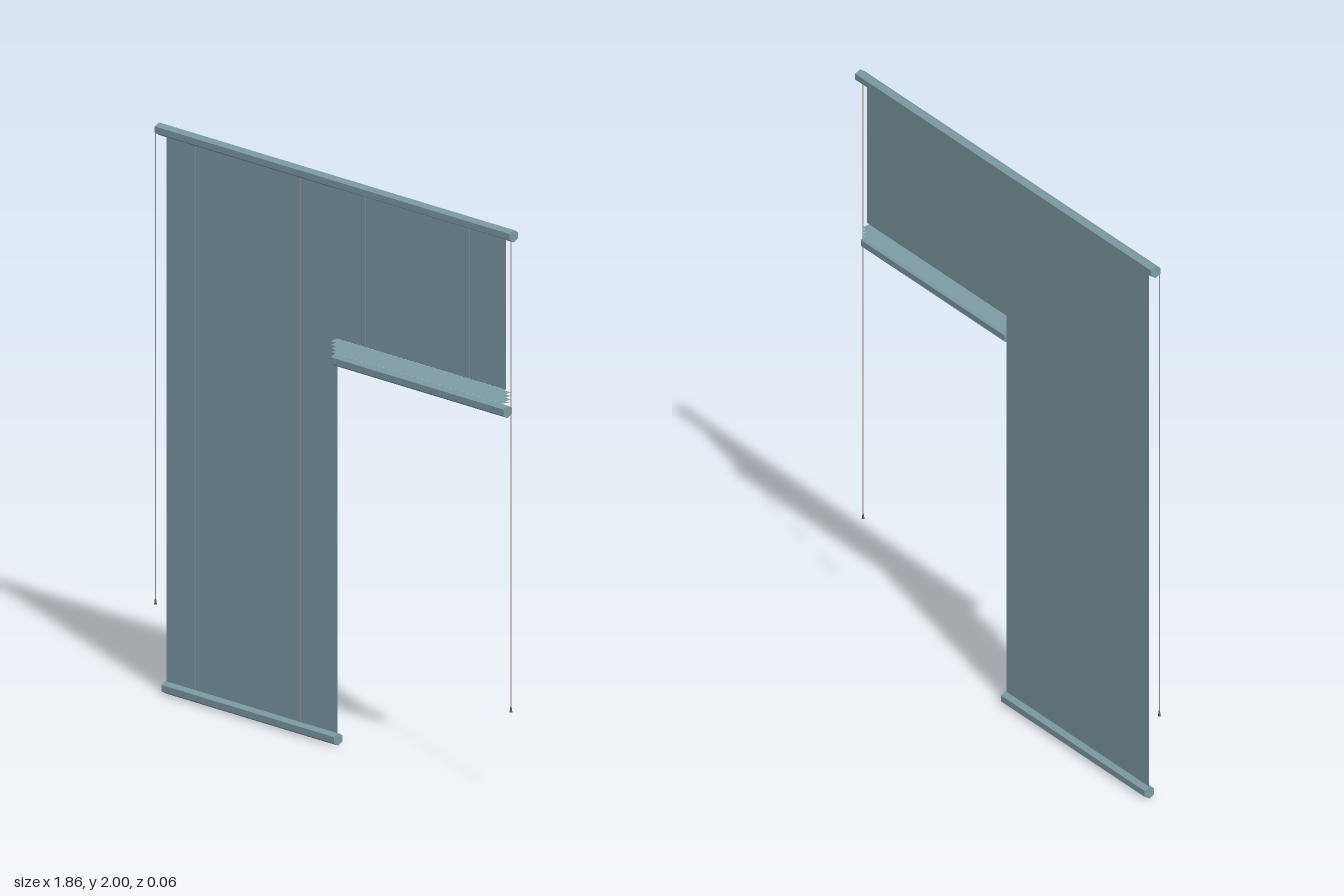
import * as THREE from 'three';

const cloth = new THREE.MeshStandardMaterial({ color: 0x7d9ca5, flatShading: true, side: THREE.DoubleSide });
const cordMat = new THREE.MeshStandardMaterial({ color: 0xa89474 });
const tasselMat = new THREE.MeshStandardMaterial({ color: 0x6b5a44, flatShading: true });

function add(parent, name, geometry, material, x, y, z) {
  const mesh = new THREE.Mesh(geometry, material);
  mesh.name = name;
  mesh.position.set(x, y, z);
  parent.add(mesh);
  return mesh;
}

// Hexagonal bar lying along x, with an edge on top
function rail(parent, name, x0, x1, y, z) {
  const g = new THREE.CylinderGeometry(0.022, 0.022, x1 - x0, 6, 1, false, Math.PI / 2);
  g.rotateZ(Math.PI / 2);
  add(parent, name, g, cloth, (x0 + x1) / 2, y, z);
}

function panel(parent, name, x0, x1, y0, y1, z) {
  add(parent, name, new THREE.PlaneGeometry(x1 - x0, y1 - y0), cloth, (x0 + x1) / 2, (y0 + y1) / 2, z);
}

function cord(parent, name, x, y0, y1, z, r) {
  add(parent, name, new THREE.CylinderGeometry(r, r, y1 - y0, 6), cordMat, x, (y0 + y1) / 2, z);
}

// Gathered fabric: a strip zigzagging front to back as it goes down
function foldStack(parent, x0, x1, yTop, yBottom, z, depth, count) {
  const g = new THREE.PlaneGeometry(x1 - x0, 1, 1, count);
  const p = g.attributes.position;
  for (let i = 0; i < p.count; i++) {
    const row = Math.floor(i / 2);
    p.setY(i, THREE.MathUtils.lerp(yTop, yBottom, row / count));
    p.setZ(i, row === 0 ? 0 : (row % 2 ? depth : -depth));
  }
  g.computeVertexNormals();
  add(parent, 'foldStack', g, cloth, (x0 + x1) / 2, 0, z);
}

export function createModel() {
  const model = new THREE.Group();
  model.name = 'rollBlinds';

  rail(model, 'headRail', -0.925, 0.925, 1.978, 0.001);

  // Lowered blind
  const lowered = new THREE.Group();
  lowered.name = 'loweredBlind';
  panel(lowered, 'loweredPanel', -0.9, -0.008, 0.03, 1.97, -0.01);
  rail(lowered, 'loweredBottomRail', -0.905, -0.005, 0.022, -0.011);
  for (const x of [-0.745, -0.195]) cord(lowered, 'loweredLiftCord', x, 0.03, 1.97, -0.007, 0.0015);
  model.add(lowered);

  // Raised blind with gathered folds
  const raised = new THREE.Group();
  raised.name = 'raisedBlind';
  panel(raised, 'raisedPanel', 0.01, 0.895, 1.435, 1.97, 0.01);
  foldStack(raised, 0.01, 0.895, 1.435, 1.385, 0.011, 0.022, 8);
  rail(raised, 'raisedBottomRail', 0.005, 0.905, 1.36, 0.011);
  for (const x of [0.165, 0.71]) cord(raised, 'raisedLiftCord', x, 1.36, 1.97, 0.013, 0.0015);
  model.add(raised);

  // Pull cords with tassels at both ends
  for (const s of [-1, 1]) {
    cord(model, 'pullCord', s * 0.927, 0.33, 1.975, 0.015, 0.0018);
    add(model, 'tassel', new THREE.CylinderGeometry(0.002, 0.005, 0.02, 8), tasselMat, s * 0.927, 0.322, 0.015);
  }
  return model;
}
